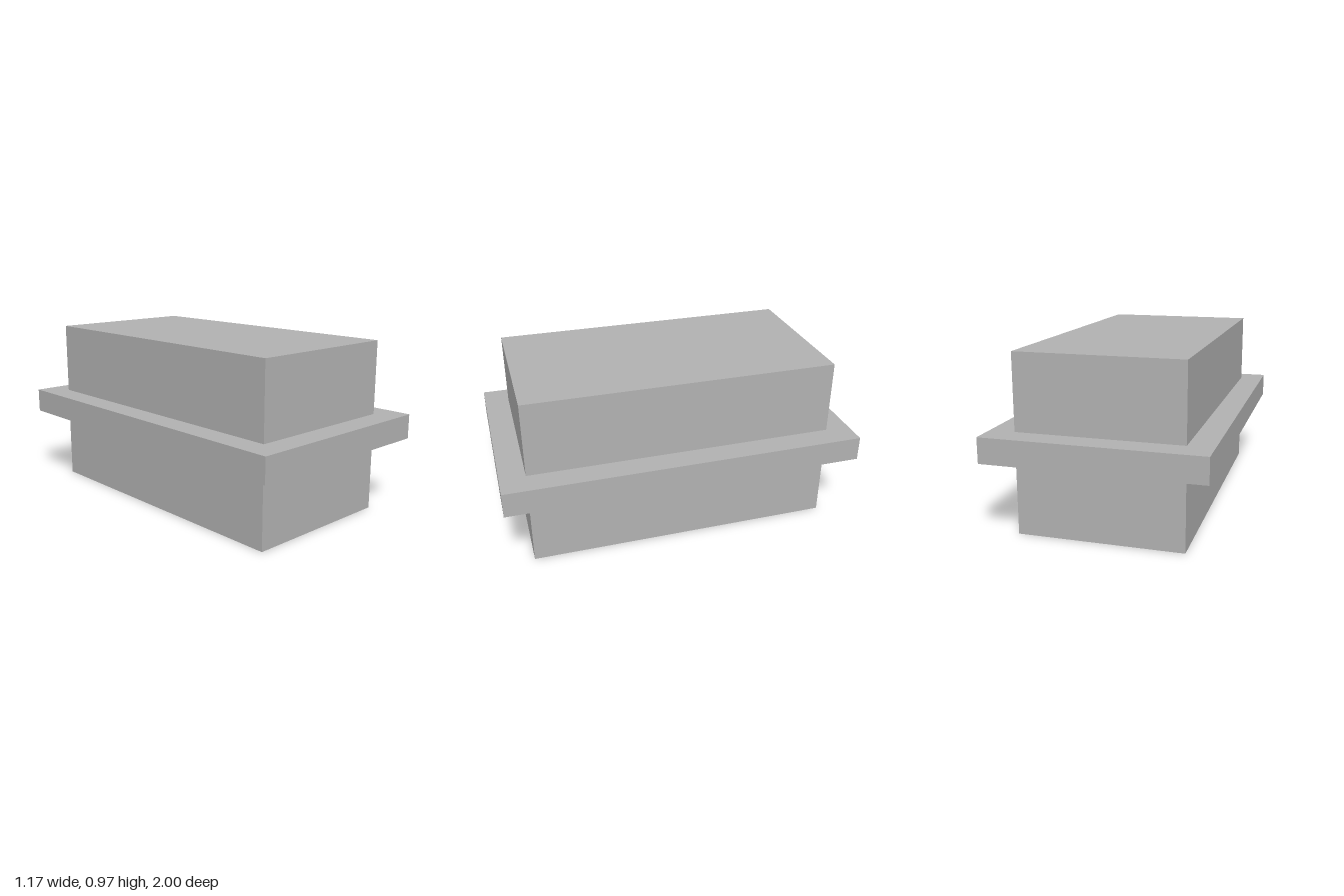
import * as THREE from 'three';

export function createModel() {
  const group = new THREE.Group();
  const grey = new THREE.MeshStandardMaterial({ color: 0xb2b2b2 });
  grey.name = 'grey';

  // Box spanning y0 to y1, centred on x and z
  const addBlock = (name, width, depth, y0, y1) => {
    const mesh = new THREE.Mesh(new THREE.BoxGeometry(width, y1 - y0, depth), grey);
    mesh.name = name;
    mesh.position.y = (y0 + y1) / 2;
    group.add(mesh);
  };

  addBlock('lowerBlock', 0.893, 1.72, 0, 0.415);
  addBlock('flange', 1.17, 2, 0.415, 0.553);
  addBlock('upperBlock', 0.893, 1.72, 0.553, 0.966);

  return group;
}
